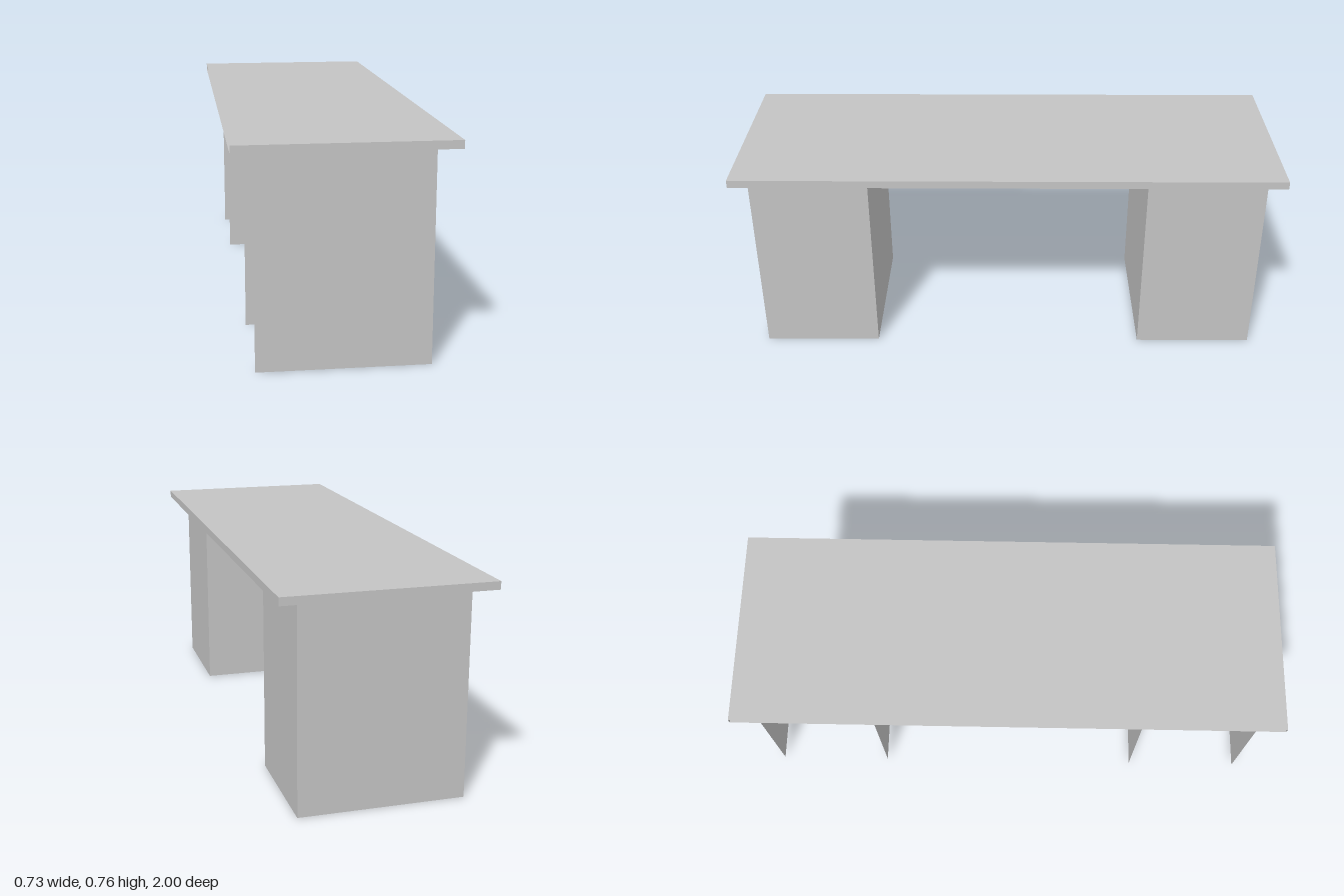
import * as THREE from 'three';

const grey = new THREE.MeshStandardMaterial({ color: 0xc4c4c4, side: THREE.DoubleSide });
grey.name = 'plain grey';

// Face order of BoxGeometry
const FACES = ['+x', '-x', '+y', '-y', '+z', '-z'];

// Thin-walled box that keeps only the listed faces
function openBox(name, size, position, keep) {
  const geometry = new THREE.BoxGeometry(...size);
  const index = Array.from(geometry.index.array);
  geometry.setIndex(keep.flatMap((face) => {
    const start = FACES.indexOf(face) * 6;
    return index.slice(start, start + 6);
  }));
  geometry.clearGroups();
  const mesh = new THREE.Mesh(geometry, grey);
  mesh.name = name;
  mesh.position.set(...position);
  return mesh;
}

export function createModel() {
  const table = new THREE.Group();
  table.name = 'table';

  const topY = 0.758, underY = 0.73;

  // Table top, open along its -x edge
  table.add(openBox('tableTop', [0.726, topY - underY, 2], [0, (topY + underY) / 2, 0],
    ['+x', '+y', '-y', '+z', '-z']));

  // Two U-shaped pedestals, open towards -x
  for (const side of [1, -1]) {
    table.add(openBox(side > 0 ? 'frontPedestal' : 'backPedestal',
      [0.582, underY, 0.435], [0, underY / 2, side * 0.7285], ['+x', '+z', '-z']));
  }
  return table;
}
